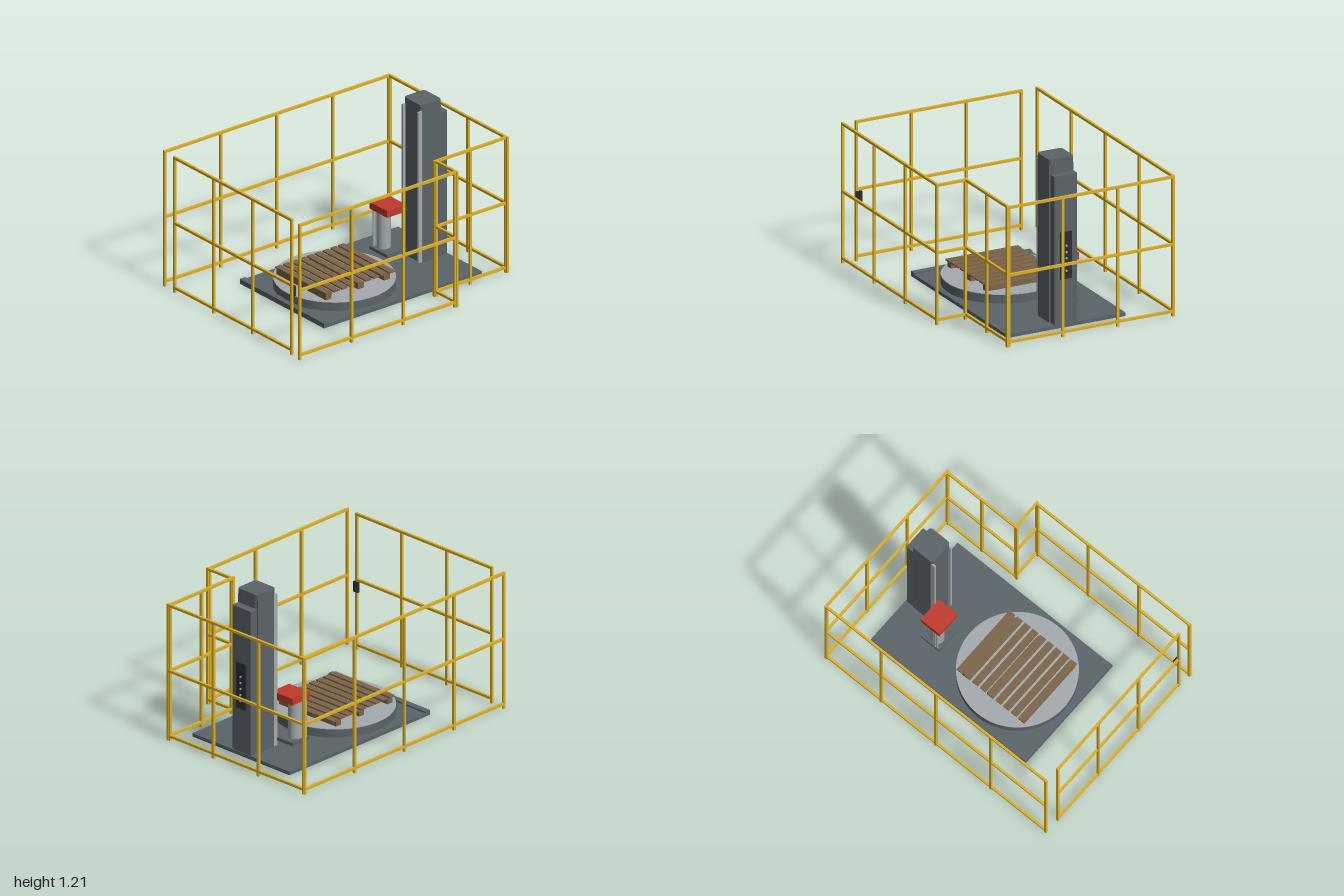
import * as THREE from 'three';

const mat = (color) => new THREE.MeshStandardMaterial({ color });
const YELLOW = mat(0xdcb028), DARK = mat(0x5a6468), LIGHT = mat(0xa4aaad);
const WOOD = mat(0x7c6549), RED = mat(0xc0392b), BLACK = mat(0x2b2f33);

// Box given by its minimum and maximum on each axis
function box(parent, name, material, x0, x1, y0, y1, z0, z1) {
  const m = new THREE.Mesh(new THREE.BoxGeometry(x1 - x0, y1 - y0, z1 - z0), material);
  m.position.set((x0 + x1) / 2, (y0 + y1) / 2, (z0 + z1) / 2);
  m.name = name;
  parent.add(m);
  return m;
}

function cylinder(parent, name, material, r, x, z, y0, y1, segments = 32) {
  const m = new THREE.Mesh(new THREE.CylinderGeometry(r, r, y1 - y0, segments), material);
  m.position.set(x, (y0 + y1) / 2, z);
  m.name = name;
  parent.add(m);
  return m;
}

// Upright prism with a rounded rectangular plan
function roundedPrism(parent, name, material, x0, x1, y0, y1, z0, z1, r) {
  const s = new THREE.Shape();
  const a = -z1, b = -z0;
  s.moveTo(x0 + r, a);
  s.lineTo(x1 - r, a);
  s.absarc(x1 - r, a + r, r, -Math.PI / 2, 0);
  s.lineTo(x1, b - r);
  s.absarc(x1 - r, b - r, r, 0, Math.PI / 2);
  s.lineTo(x0 + r, b);
  s.absarc(x0 + r, b - r, r, Math.PI / 2, Math.PI);
  s.lineTo(x0, a + r);
  s.absarc(x0 + r, a + r, r, Math.PI, Math.PI * 1.5);
  const g = new THREE.ExtrudeGeometry(s, { depth: y1 - y0, bevelEnabled: false, curveSegments: 5 });
  g.rotateX(-Math.PI / 2);
  const m = new THREE.Mesh(g, material);
  m.position.y = y0;
  m.name = name;
  parent.add(m);
}

// Fence panel between two plan points, split into equal bays by posts
function fencePanel(name, x0, z0, x1, z1, bays) {
  const g = new THREE.Group();
  g.name = name;
  const t = 0.009;
  for (let i = 0; i <= bays; i++) {
    const x = x0 + (x1 - x0) * i / bays, z = z0 + (z1 - z0) * i / bays;
    box(g, 'fencePost', YELLOW, x - t, x + t, 0, 1.018, z - t, z + t);
  }
  for (const y of [0.036, 0.52, 1.009]) {
    box(g, 'fenceRail', YELLOW, Math.min(x0, x1) - t, Math.max(x0, x1) + t, y - t, y + t,
      Math.min(z0, z1) - t, Math.max(z0, z1) + t);
  }
  return g;
}

function createFence() {
  const g = new THREE.Group();
  g.name = 'safetyFence';
  g.add(
    fencePanel('rightFence', -0.751, -0.98, -0.751, 0.967, 4),
    fencePanel('backFence', -0.745, -0.985, 0.53, -0.985, 3),
    fencePanel('notchSideFence', 0.52, -0.98, 0.52, -0.362, 2),
    fencePanel('notchFrontFence', 0.525, -0.373, 0.745, -0.373, 1),
    fencePanel('leftFence', 0.74, -0.362, 0.74, 0.986, 3),
    fencePanel('frontGate', -0.632, 0.975, 0.64, 0.975, 3));
  box(g, 'gateLatch', BLACK, 0.608, 0.626, 0.435, 0.51, 0.95, 0.967);
  box(g, 'gateLatchKeeper', BLACK, 0.632, 0.652, 0.435, 0.51, 0.95, 0.967);
  return g;
}

function createPallet() {
  const g = new THREE.Group();
  g.name = 'pallet';
  for (let i = 0; i < 9; i++) {
    const z = -0.193 + i * 0.0688;
    box(g, 'palletSlat', WOOD, -0.285, 0.272, 0.135, 0.146, z - 0.025, z + 0.025);
  }
  for (const z of [-0.155, 0.07, 0.35]) {
    box(g, 'palletBeam', WOOD, -0.275, 0.26, 0.09, 0.135, z - 0.025, z + 0.025);
  }
  return g;
}

function createMast() {
  const g = new THREE.Group();
  g.name = 'mast';
  roundedPrism(g, 'mastBody', DARK, -0.085, 0.07, 0.025, 1.17, -0.767, -0.588, 0.012);
  roundedPrism(g, 'mastCap', DARK, -0.1, 0.09, 1.16, 1.205, -0.767, -0.588, 0.022);
  // Side housings, set back to leave a groove beside the guide strips
  box(g, 'mastSide', DARK, -0.1, -0.08, 0.025, 1.16, -0.76, -0.605);
  box(g, 'mastSide', DARK, 0.066, 0.09, 0.025, 1.16, -0.76, -0.605);
  box(g, 'guideStrip', LIGHT, -0.098, -0.085, 0.025, 1.155, -0.605, -0.57);
  box(g, 'guideStrip', LIGHT, 0.07, 0.083, 0.025, 1.155, -0.605, -0.57);
  roundedPrism(g, 'rearHousing', DARK, -0.095, 0.082, 0.025, 1.1, -0.825, -0.76, 0.008);
  // Rear control panel
  box(g, 'controlPanel', BLACK, -0.05, 0.04, 0.35, 0.69, -0.832, -0.82);
  for (let i = 0; i < 5; i++) {
    const b = cylinder(g, 'panelButton', LIGHT, 0.008, -0.005, -0.835, 0, 0.01, 12);
    b.rotation.x = Math.PI / 2;
    b.position.y = 0.41 + i * 0.045;
  }
  return g;
}

function createCarriage() {
  const g = new THREE.Group();
  g.name = 'filmCarriage';
  box(g, 'carriageTop', RED, -0.242, -0.052, 0.365, 0.415, -0.574, -0.407);
  box(g, 'carriageBase', DARK, -0.242, -0.052, 0.062, 0.085, -0.574, -0.407);
  box(g, 'carriageBracket', DARK, -0.098, -0.07, 0.062, 0.085, -0.6, -0.57);
  cylinder(g, 'filmRoll', LIGHT, 0.048, -0.178, -0.478, 0.085, 0.355);
  cylinder(g, 'rollSpindle', DARK, 0.015, -0.178, -0.478, 0.355, 0.365, 16);
  for (const z of [-0.433, -0.45]) {
    cylinder(g, 'guideRoller', LIGHT, 0.009, -0.232, z, 0.085, 0.365, 16);
  }
  return g;
}

export function createModel() {
  const model = new THREE.Group();
  model.name = 'palletWrappingStation';

  // Floor plate with a raised front edge
  box(model, 'basePlate', DARK, -0.463, 0.452, 0, 0.025, -0.83, 0.5);
  box(model, 'baseFrontEdge', DARK, -0.463, 0.452, 0, 0.036, 0.5, 0.545);

  // Turntable
  cylinder(model, 'turntableDrum', DARK, 0.418, -0.006, 0.087, 0.025, 0.086, 72);
  cylinder(model, 'turntableTop', LIGHT, 0.418, -0.006, 0.087, 0.086, 0.09, 72);

  model.add(createPallet(), createMast(), createCarriage(), createFence());
  return model;
}
